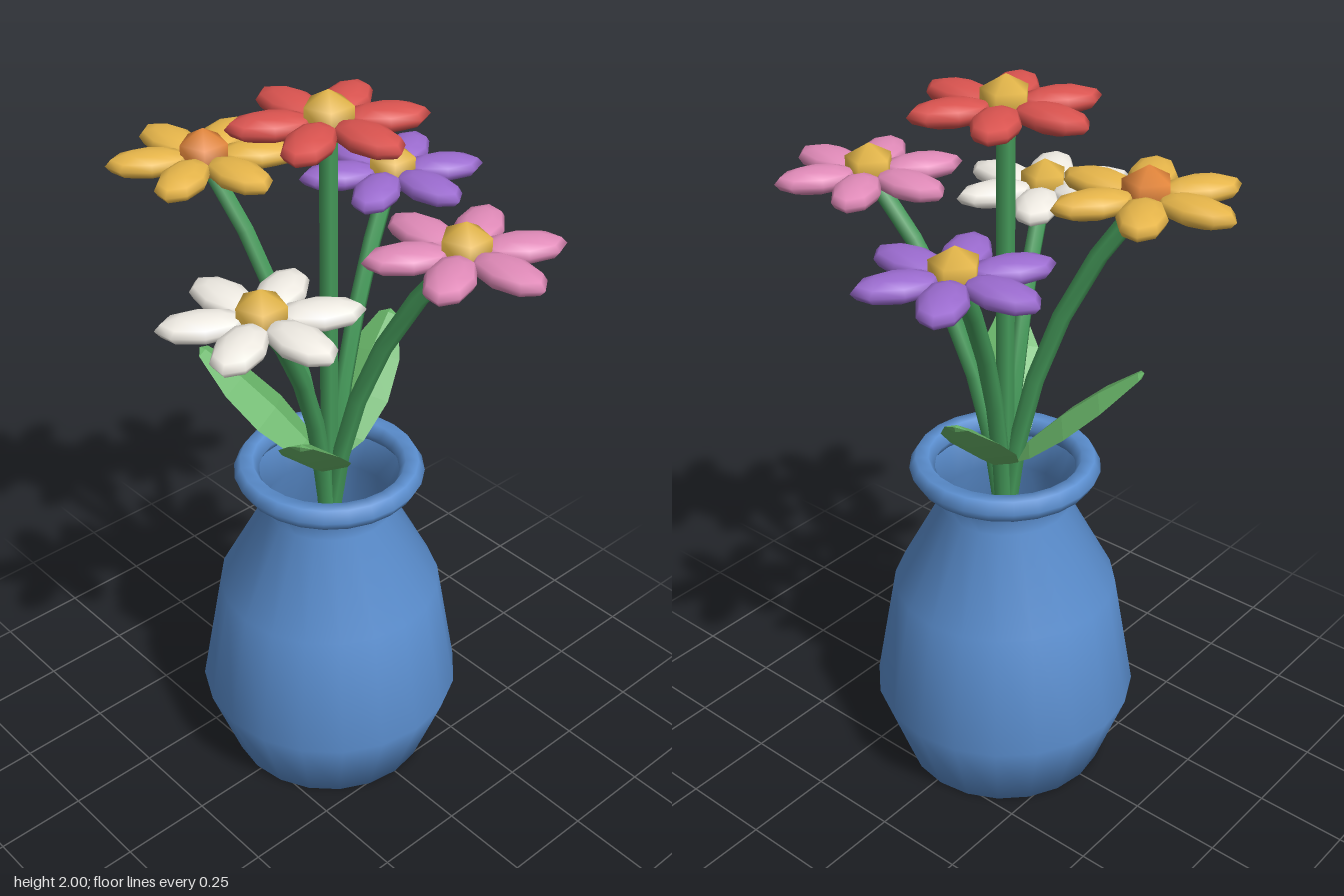
import * as THREE from 'three';

const mat = (color, extra = {}) => new THREE.MeshStandardMaterial({ color, ...extra });

function add(parent, name, geometry, material) {
  const mesh = new THREE.Mesh(geometry, material);
  mesh.name = name;
  parent.add(mesh);
  return mesh;
}

// Open pot with a narrow neck and a rolled rim
function makeVase() {
  const vase = new THREE.Group();
  vase.name = 'vase';
  const blue = mat(0x5b8fd0, { side: THREE.DoubleSide });
  const profile = [[0, 0], [0.283, 0], [0.365, 0.23], [0.306, 0.57], [0.175, 0.82], [0.222, 0.935]]
    .map(([r, y]) => new THREE.Vector2(r, y));
  add(vase, 'vaseBody', new THREE.LatheGeometry(profile, 20), blue);
  const rim = add(vase, 'vaseRim', new THREE.TorusGeometry(0.222, 0.034, 6, 24), blue);
  rim.rotation.x = Math.PI / 2;
  rim.position.y = 0.935;
  return vase;
}

// Bent stem carrying six flattened petals around a faceted centre
function makeFlower({ name, x, y, z, petal, centre }) {
  const flower = new THREE.Group();
  flower.name = name;
  const curve = new THREE.QuadraticBezierCurve3(
    new THREE.Vector3(0, 0.6, 0),
    new THREE.Vector3(0, 0.6 + 0.6 * (y - 0.6), 0),
    new THREE.Vector3(x, y, z)
  );
  add(flower, 'stem', new THREE.TubeGeometry(curve, 6, 0.024, 6), mat(0x459a5a));

  const head = new THREE.Group();
  head.name = 'flowerHead';
  head.position.set(x, y, z);
  flower.add(head);
  const petalGeo = new THREE.SphereGeometry(1, 8, 6);
  petalGeo.scale(0.11, 0.033, 0.061);
  petalGeo.translate(0.136, 0, 0);
  const petalMat = mat(petal);
  for (let i = 0; i < 6; i++) {
    add(head, 'petal', petalGeo, petalMat).rotation.y = i * Math.PI / 3;
  }
  add(head, 'flowerCentre', new THREE.SphereGeometry(0.072, 5, 3), mat(centre)).position.y = 0.008;
  return flower;
}

// Thick leaf with a midrib ridge, leaning out over the rim
function makeLeaf(degrees) {
  const leaf = new THREE.Group();
  leaf.name = 'leaf';
  const profile = [[0, 0], [0.065, 0.1], [0.09, 0.22], [0.078, 0.34], [0.03, 0.46], [0, 0.475]]
    .map(([r, y]) => new THREE.Vector2(r, y));
  const geo = new THREE.LatheGeometry(profile, 4);
  geo.scale(0.3, 1, 1);
  const blade = add(leaf, 'leafBlade', geo, mat(0x68b468, { flatShading: true }));
  blade.rotation.z = -THREE.MathUtils.degToRad(49);
  blade.position.y = 0.93;
  leaf.rotation.y = -THREE.MathUtils.degToRad(degrees);
  return leaf;
}

export function createModel() {
  const model = new THREE.Group();
  model.name = 'vaseOfFlowers';
  const bouquet = new THREE.Group();
  bouquet.name = 'bouquet';
  bouquet.position.x = -0.015;
  model.add(bouquet);

  bouquet.add(makeVase());
  const gold = 0xe6b84a;
  [
    { name: 'redFlower', x: 0, y: 1.92, z: 0, petal: 0xd9534f, centre: gold },
    { name: 'yellowFlower', x: -0.34, y: 1.747, z: 0.11, petal: 0xe6b54a, centre: 0xe6883c },
    { name: 'pinkFlower', x: 0.37, y: 1.69, z: -0.09, petal: 0xe08ab8, centre: gold },
    { name: 'purpleFlower', x: -0.14, y: 1.64, z: -0.345, petal: 0x9b6bcf, centre: gold },
    { name: 'whiteFlower', x: 0.145, y: 1.58, z: 0.335, petal: 0xf0ece4, centre: gold }
  ].forEach(f => bouquet.add(makeFlower(f)));
  [53, 150, 250].forEach(a => bouquet.add(makeLeaf(a)));
  return model;
}
